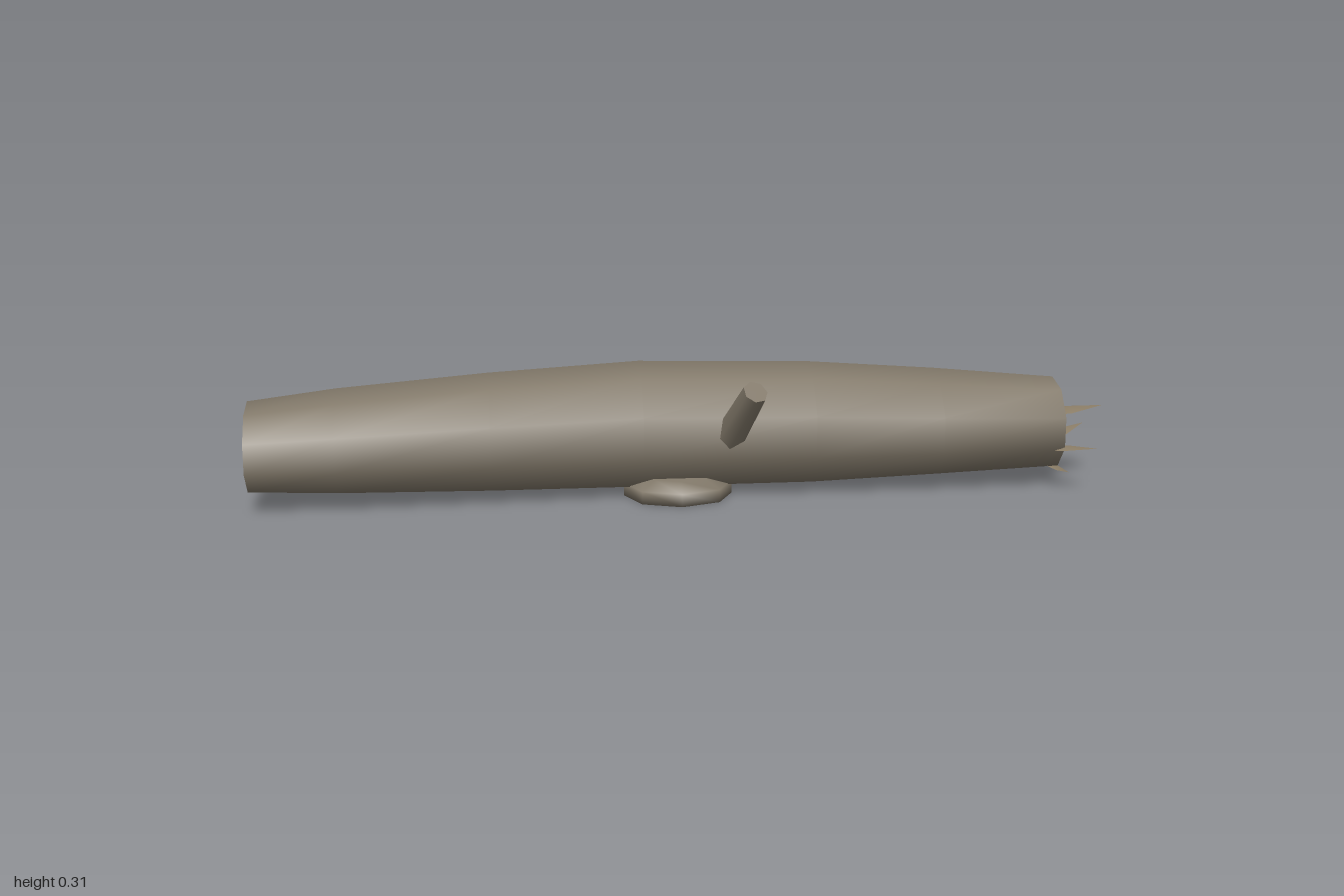
import * as THREE from 'three';

const SIDES = 9;

// Trunk stations along x: [x, centre y, radius y, centre z, radius z]
const STATIONS = [
  [-1, 0.143, 0.104, 0.011, 0.121],
  [-0.8, 0.147, 0.12, -0.008, 0.147],
  [-0.45, 0.152, 0.138, -0.033, 0.155],
  [-0.1, 0.157, 0.15, -0.048, 0.152],
  [0.3, 0.153, 0.144, -0.047, 0.156],
  [0.6, 0.149, 0.126, -0.043, 0.152],
  [0.89, 0.145, 0.107, -0.024, 0.119],
];

function add(parent, name, geometry, mat) {
  const mesh = new THREE.Mesh(geometry, mat);
  mesh.name = name;
  parent.add(mesh);
  return mesh;
}

function indexedGeometry(pos, index) {
  const g = new THREE.BufferGeometry();
  g.setAttribute('position', new THREE.Float32BufferAttribute(pos, 3));
  g.setIndex(index);
  g.computeVertexNormals();
  return g;
}

// Nine-sided smooth skin through a list of stations
function loft(stations) {
  const pos = [], index = [];
  for (const [x, cy, ry, cz, rz] of stations) {
    for (let i = 0; i < SIDES; i++) {
      const a = (i / SIDES) * Math.PI * 2;
      pos.push(x, cy + ry * Math.sin(a), cz - rz * Math.cos(a));
    }
  }
  for (let r = 0; r < stations.length - 1; r++) {
    for (let i = 0; i < SIDES; i++) {
      const a = r * SIDES + i, b = r * SIDES + ((i + 1) % SIDES);
      index.push(a, b, a + SIDES, b, b + SIDES, a + SIDES);
    }
  }
  return indexedGeometry(pos, index);
}

// Shallow hollow in a cut end, from the rim to the middle; dir is the x direction it faces
function hollow([x, cy, ry, cz, rz], dir) {
  const rings = [[1, 0], [0.7, 0.03], [0, 0.04]].map(([s, depth]) =>
    [x - dir * depth, cy, ry * s, cz, rz * s]);
  return loft(dir > 0 ? rings : rings.reverse());
}

// Thin splinter with a slight ridge, from base to tip
function splinterGeometry(base, tip, width) {
  const a = new THREE.Vector3(...base), b = new THREE.Vector3(...tip);
  const side = b.clone().sub(a).cross(new THREE.Vector3(0, 1, 0)).setLength(width / 2);
  const mid = a.clone().lerp(b, 0.4);
  const ridge = mid.clone().add(new THREE.Vector3(0, 0.008, 0));
  const points = [
    a.clone().addScaledVector(side, 0.7), mid.clone().add(side), b,
    mid.clone().sub(side), a.clone().addScaledVector(side, -0.7), ridge,
  ];
  return indexedGeometry(points.flatMap((p) => p.toArray()),
    [0, 1, 5, 1, 2, 5, 2, 3, 5, 3, 4, 5, 4, 0, 5]);
}

export function createModel() {
  const model = new THREE.Group();
  model.name = 'fallenLog';
  const bark = new THREE.MeshStandardMaterial({ color: 0x82796a });
  const wood = new THREE.MeshStandardMaterial({ color: 0x85795f });
  const splinterWood = new THREE.MeshStandardMaterial({ color: 0x8d7f68, side: THREE.DoubleSide });

  // Trunk and its hollowed ends
  add(model, 'trunk', loft(STATIONS), bark);
  add(model, 'leftCutEnd', hollow(STATIONS[STATIONS.length - 1], 1), wood);
  add(model, 'rightCutEnd', hollow(STATIONS[0], -1), wood);

  // Broken branch leaning up and forward
  const from = new THREE.Vector3(0.1, 0.15, 0.065);
  const to = new THREE.Vector3(0.145, 0.286, 0.181);
  const branch = add(model, 'branchStub',
    new THREE.CylinderGeometry(0.029, 0.037, from.distanceTo(to), 7), bark);
  branch.position.copy(from).lerp(to, 0.5);
  branch.quaternion.setFromUnitVectors(
    new THREE.Vector3(0, 1, 0), to.clone().sub(from).normalize());

  // Low domed foot under the middle of the trunk
  const profile = [[0, 0], [1, 0], [1, 0.03], [0.65, 0.05], [0, 0.052]];
  const foot = add(model, 'foot',
    new THREE.LatheGeometry(profile.map(([r, y]) => new THREE.Vector2(r, y)), 8), bark);
  foot.scale.set(0.127, 1, 0.107);
  foot.position.set(-0.013, 0, 0.006);

  // Splinters sticking out of the left end: [base, tip, width]
  const splinters = [
    [[0.87, 0.095, -0.045], [0.995, 0.113, -0.125], 0.05],
    [[0.86, 0.1, 0.055], [0.955, 0.117, 0.127], 0.05],
    [[0.86, 0.175, 0.008], [1, 0.19, 0.005], 0.07],
    [[0.86, 0.055, 0.01], [0.925, 0.028, 0.015], 0.07],
  ];
  splinters.forEach(([base, tip, width], i) =>
    add(model, `splinter${i + 1}`, splinterGeometry(base, tip, width), splinterWood));

  return model;
}
